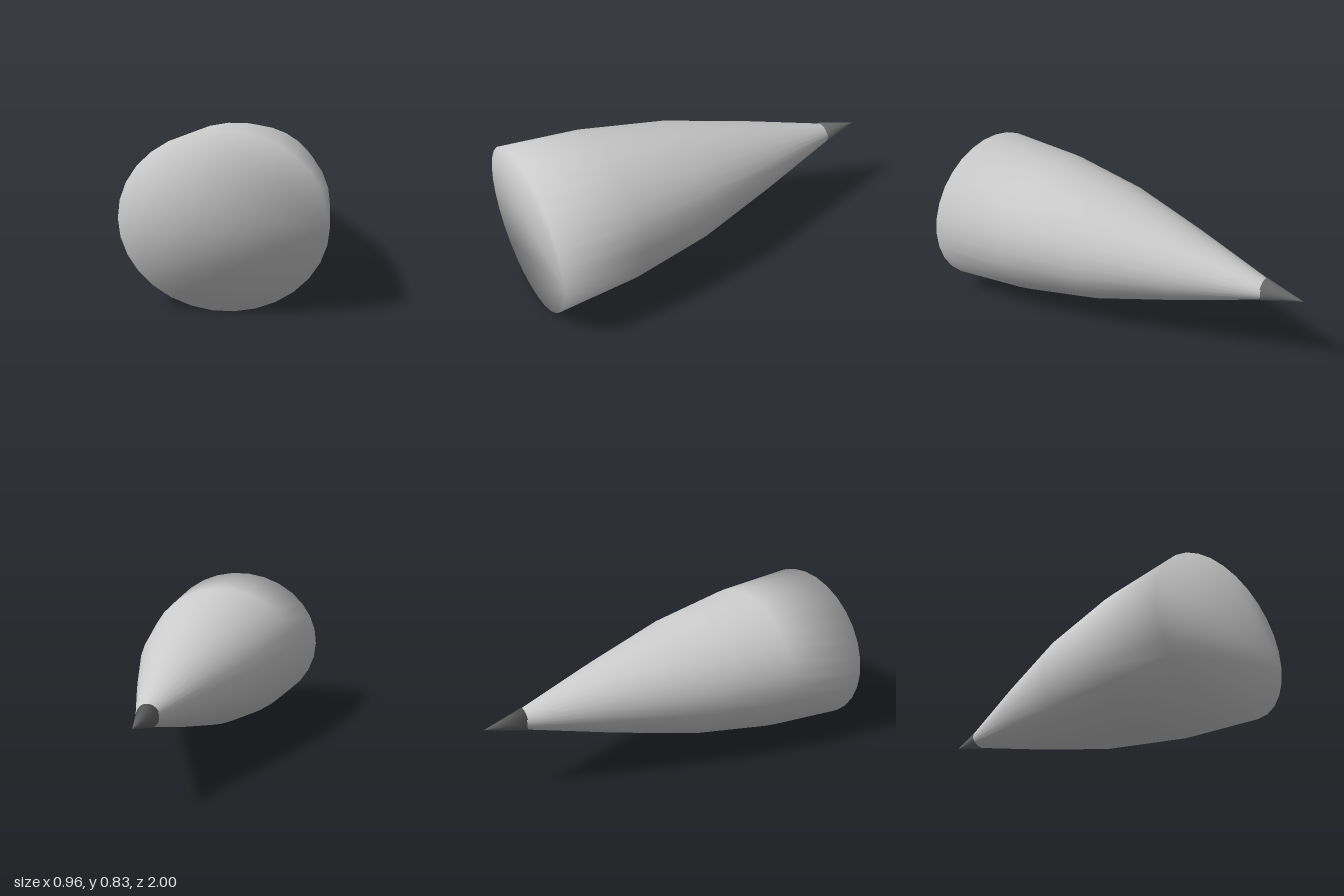
import * as THREE from 'three';

const SIDES = 30;
const AXIS_Y = 0.413;

// Smooth closed loft along z through elliptical rings [z, radiusX, radiusY], front ring first.
// The front cap shares its rim vertices with the wall, so shading rolls over the edge.
function loft(rings) {
  const positions = [];
  const index = [];
  for (const [z, rx, ry] of rings) {
    for (let i = 0; i < SIDES; i++) {
      const a = (i / SIDES) * Math.PI * 2;
      positions.push(rx * Math.cos(a), ry * Math.sin(a), z);
    }
  }
  for (let r = 0; r < rings.length - 1; r++) {
    for (let i = 0; i < SIDES; i++) {
      const j = (i + 1) % SIDES;
      const a = r * SIDES + i, b = r * SIDES + j;
      index.push(a, a + SIDES, b, b, a + SIDES, b + SIDES);
    }
  }
  const geometry = new THREE.BufferGeometry();
  geometry.setAttribute('position', new THREE.Float32BufferAttribute(positions, 3));
  geometry.setIndex(index);
  geometry.computeVertexNormals();

  // blend the rim normals halfway towards the flat front
  const normal = geometry.attributes.normal;
  const n = new THREE.Vector3();
  for (let i = 0; i < SIDES; i++) {
    n.fromBufferAttribute(normal, i);
    n.z += 1;
    n.normalize();
    normal.setXYZ(i, n.x, n.y, n.z);
  }

  // front and back caps as fans
  const last = (rings.length - 1) * SIDES;
  for (let i = 1; i < SIDES - 1; i++) {
    index.push(0, i, i + 1, last, last + i + 1, last + i);
  }
  geometry.setIndex(index);
  return geometry;
}

export function createModel() {
  const group = new THREE.Group();
  const add = (name, geometry, color) => {
    const mesh = new THREE.Mesh(geometry, new THREE.MeshStandardMaterial({ color }));
    mesh.name = name;
    mesh.position.y = AXIS_Y;
    group.add(mesh);
  };

  // tapering oval body
  add('noseBody', loft([
    [1, 0.48, 0.415],
    [0.57, 0.445, 0.386],
    [0.13, 0.36, 0.312],
    [-0.33, 0.215, 0.188],
    [-0.79, 0.059, 0.051],
  ]), 0xcccccc);

  // dark round point, slightly wider than the end it sits on
  add('noseTip', loft([
    [-0.785, 0.059, 0.059],
    [-1, 0.0005, 0.0005],
  ]), 0x666666);

  return group;
}
